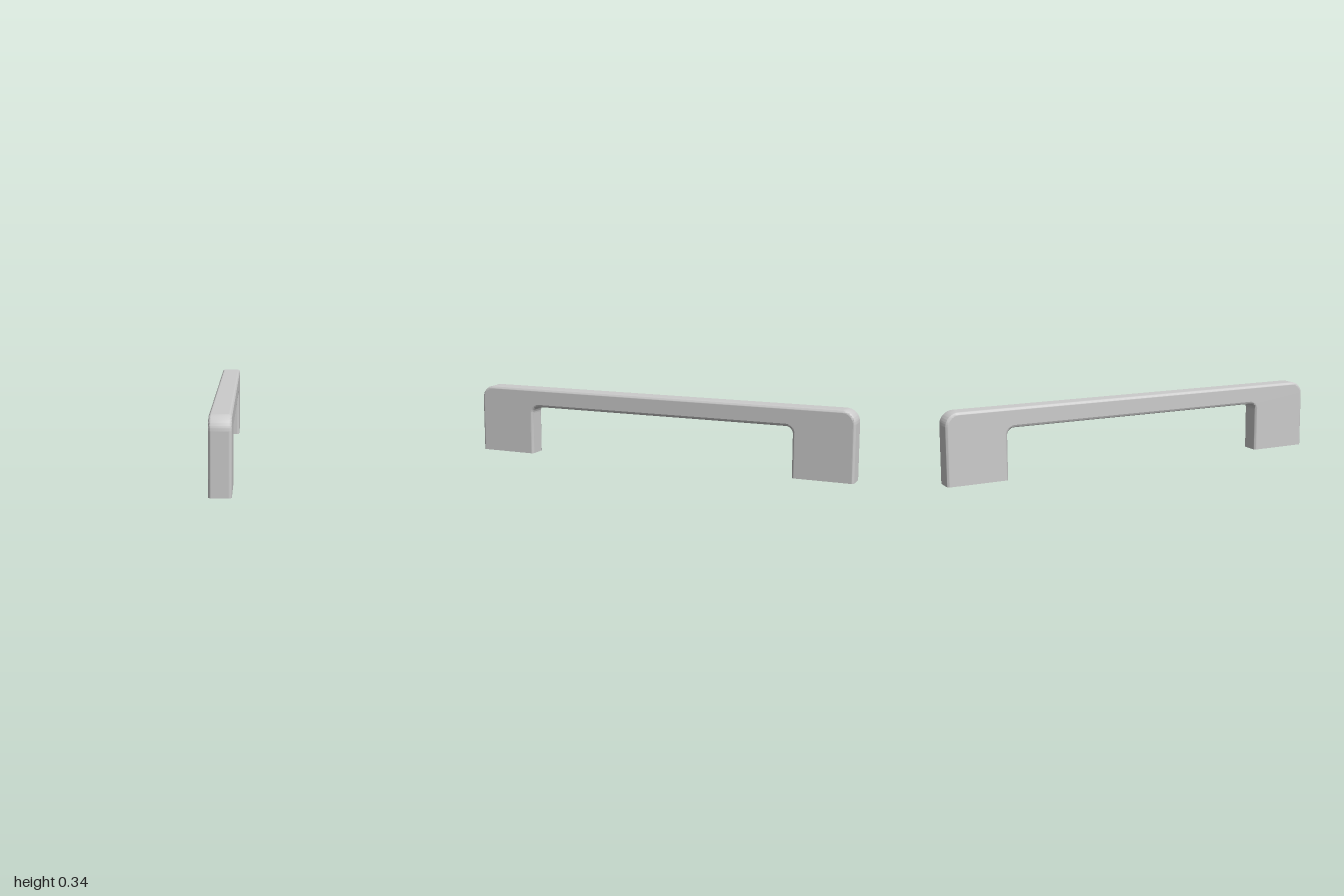
import * as THREE from 'three';
import { toCreasedNormals } from 'three/addons/utils/BufferGeometryUtils.js';

const HALF_LENGTH = 1, HEIGHT = 0.342, HALF_WIDTH = 0.049;
const LEG_INNER = 0.7, GRIP_UNDERSIDE = 0.247;
const OUTER_R = 0.065, INNER_R = 0.035, EDGE_R = 0.013;
const OVERRUN = 0.05; // legs run below the base, then are cut flat at y = 0

// Side outline: two legs joined by a bar, with rounded corners
function handleOutline() {
  const s = new THREE.Shape();
  const q = Math.PI / 2;
  const innerZ = LEG_INNER - INNER_R, innerY = GRIP_UNDERSIDE - INNER_R;
  const outerZ = HALF_LENGTH - OUTER_R, outerY = HEIGHT - OUTER_R;
  s.moveTo(-HALF_LENGTH, -OVERRUN);
  s.lineTo(-LEG_INNER, -OVERRUN);
  s.absarc(-innerZ, innerY, INNER_R, 2 * q, q, true);
  s.absarc(innerZ, innerY, INNER_R, q, 0, true);
  s.lineTo(LEG_INNER, -OVERRUN);
  s.lineTo(HALF_LENGTH, -OVERRUN);
  s.absarc(outerZ, outerY, OUTER_R, 0, q, false);
  s.absarc(-outerZ, outerY, OUTER_R, q, 2 * q, false);
  return s;
}

// Give the large axis-aligned faces exact flat normals
function flattenPlanes(geometry) {
  const p = geometry.attributes.position, n = geometry.attributes.normal;
  const tri = new THREE.Triangle(), face = new THREE.Vector3();
  for (let i = 0; i < p.count; i += 3) {
    tri.setFromAttributeAndIndices(p, i, i + 1, i + 2);
    tri.getNormal(face);
    if (Math.max(Math.abs(face.x), Math.abs(face.y), Math.abs(face.z)) > 0.9999) {
      for (let k = 0; k < 3; k++) n.setXYZ(i + k, face.x, face.y, face.z);
    }
  }
}

export function createModel() {
  const depth = 2 * (HALF_WIDTH - EDGE_R);
  let geometry = new THREE.ExtrudeGeometry(handleOutline(), {
    depth, curveSegments: 12, bevelEnabled: true, bevelSegments: 8,
    bevelSize: EDGE_R, bevelThickness: EDGE_R, bevelOffset: -EDGE_R,
  });
  geometry.translate(0, 0, -depth / 2);
  geometry.rotateY(Math.PI / 2);

  // Cut the feet flat at the mounting plane
  const p = geometry.attributes.position;
  for (let i = 0; i < p.count; i++) p.setY(i, Math.max(0, p.getY(i)));

  geometry = toCreasedNormals(geometry, 0.6);
  flattenPlanes(geometry);

  const handle = new THREE.Mesh(geometry, new THREE.MeshStandardMaterial({ color: 0xcccccc }));
  handle.name = 'pullHandle';
  const group = new THREE.Group();
  group.name = 'cabinetHandle';
  group.add(handle);
  return group;
}
